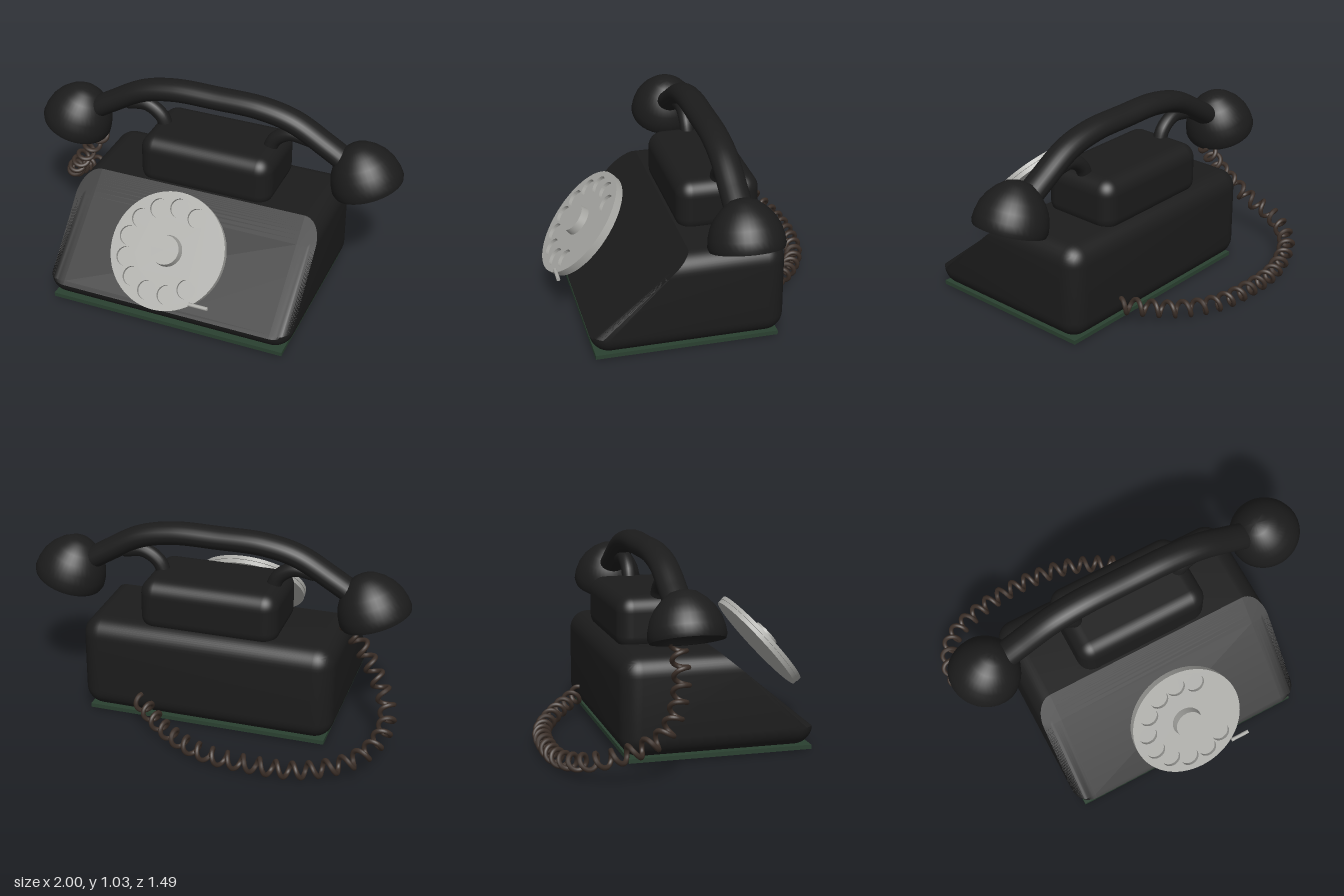
import * as THREE from 'three';
import { toCreasedNormals } from 'three/addons/utils/BufferGeometryUtils.js';
import { RoundedBoxGeometry } from 'three/addons/geometries/RoundedBoxGeometry.js';

const makeMaterial = (name, color) => {
  const m = new THREE.MeshStandardMaterial({ color });
  m.name = name;
  return m;
};

export function createModel() {
  const black = makeMaterial('black', 0x1c1c1c);
  const metal = makeMaterial('metal', 0xa9a9a5);
  const felt = makeMaterial('greenFelt', 0x2a4030);
  const brown = makeMaterial('brownCord', 0x3a2e27);

  const phone = new THREE.Group();
  phone.name = 'telephone';
  const add = (name, geometry, material, x = 0, y = 0, z = 0, parent = phone) => {
    const mesh = new THREE.Mesh(geometry, material);
    mesh.name = name;
    mesh.position.set(x, y, z);
    parent.add(mesh);
    return mesh;
  };
  const curve = (pts) => new THREE.CatmullRomCurve3(pts.map((p) => new THREE.Vector3(...p)));
  const midZ = -0.105;

  // Felt base plate
  add('baseFelt', new THREE.BoxGeometry(1.27, 0.022, 0.94), felt, 0, 0.016, 0.13);

  // Body: rounded box whose front is pulled back onto a slanted plane
  const bodyGeo = new RoundedBoxGeometry(1.34, 0.505, 0.995, 6, 0.1);
  bodyGeo.translate(0, 0.2775, 0.1225);
  const pos = bodyGeo.attributes.position;
  for (let i = 0; i < pos.count; i++) {
    const slant = 0.62 - (pos.getY(i) - 0.11) * 1.2;
    pos.setZ(i, Math.min(pos.getZ(i), slant));
  }
  add('body', toCreasedNormals(bodyGeo, 0.5), black);

  // Housing under the handset
  add('cradleHousing', new RoundedBoxGeometry(0.73, 0.28, 0.43, 6, 0.08), black, 0, 0.627, midZ);

  // Handset grip, slightly wider than tall
  const grip = curve([
    [-0.73, 0.745, 0], [-0.6, 0.825, 0], [-0.42, 0.925, 0], [-0.24, 0.965, 0], [0, 0.969, 0],
    [0.24, 0.965, 0], [0.42, 0.925, 0], [0.6, 0.825, 0], [0.73, 0.745, 0],
  ]);
  add('handsetGrip', new THREE.TubeGeometry(grip, 60, 0.058, 24), black, 0, 0, midZ).scale.z = 1.24;

  // Cups and cradle arms, mirrored
  const cupProfile = [
    [0, 0.06], [0.07, 0.055], [0.125, 0.035], [0.165, 0], [0.181, 0], [0.188, 0.02], [0.184, 0.06],
    [0.17, 0.11], [0.145, 0.155], [0.11, 0.195], [0.065, 0.23], [0.03, 0.24], [0, 0.242],
  ].map(([r, h]) => new THREE.Vector2(r, h));
  const cupGeo = toCreasedNormals(new THREE.LatheGeometry(cupProfile, 40).toNonIndexed(), 0.7);
  for (const side of [-1, 1]) {
    const name = side > 0 ? 'left' : 'right';
    add(name + 'Cup', cupGeo, black, side * 0.83, 0.64, midZ).rotation.z = side * 0.34;
    const arm = curve([
      [side * 0.285, 0.72, midZ], [side * 0.32, 0.8, midZ],
      [side * 0.4, 0.85, midZ], [side * 0.51, 0.84, midZ],
    ]);
    add(name + 'CradleArm', new THREE.TubeGeometry(arm, 24, 0.038, 14), black);
  }

  // Dial group: local z = 0 is the face of the finger wheel
  const dial = new THREE.Group();
  dial.name = 'dial';
  dial.position.set(0, 0.446, 0.554);
  dial.rotation.x = -0.709;
  phone.add(dial);
  const disc = (top, bottom, h) => new THREE.CylinderGeometry(top, bottom, h, 48).rotateX(Math.PI / 2);

  const wheel = new THREE.Shape().absarc(0, 0, 0.3, 0, Math.PI * 2);
  for (let i = 0; i < 10; i++) {
    const a = THREE.MathUtils.degToRad(60 + 28 * i);
    wheel.holes.push(new THREE.Path().absarc(0.22 * Math.cos(a), 0.22 * Math.sin(a), 0.049, 0, Math.PI * 2, true));
  }
  const wheelGeo = new THREE.ExtrudeGeometry(wheel, { depth: 0.02, bevelEnabled: false, curveSegments: 32 });
  add('fingerWheel', toCreasedNormals(wheelGeo, 0.6), metal, 0, 0, -0.02, dial);
  add('dialBackPlate', disc(0.297, 0.297, 0.023), metal, 0, 0, -0.0325, dial);
  add('dialSpacer', disc(0.285, 0.285, 0.006), metal, 0, 0, -0.0215, dial);
  add('dialHub', disc(0.074, 0.08, 0.04), metal, 0, 0, 0.02, dial);
  const stop = new THREE.CylinderGeometry(0.01, 0.01, 0.1, 10).rotateZ(Math.PI / 2);
  add('fingerStop', stop, metal, 0.235, -0.23, 0.016, dial);

  // Coiled cord: a helix wound around a sweeping path
  const path = curve([
    [-0.68, 0.6, -0.11], [-0.81, 0.41, -0.13], [-0.93, 0.23, -0.24], [-0.945, 0.16, -0.4],
    [-0.85, 0.1, -0.57], [-0.62, 0.052, -0.67], [-0.33, 0.05, -0.695], [-0.08, 0.053, -0.66],
    [0.14, 0.075, -0.55], [0.34, 0.12, -0.38],
  ]);
  const turns = 26, steps = turns * 16, coilRadius = 0.037;
  const { normals, binormals } = path.computeFrenetFrames(steps);
  const coil = [];
  for (let i = 0; i <= steps; i++) {
    const a = (i / steps) * turns * Math.PI * 2;
    coil.push(path.getPointAt(i / steps)
      .addScaledVector(normals[i], Math.cos(a) * coilRadius)
      .addScaledVector(binormals[i], Math.sin(a) * coilRadius));
  }
  const wire = new THREE.CatmullRomCurve3(coil);
  wire.arcLengthDivisions = 1600;
  add('coiledCord', new THREE.TubeGeometry(wire, steps * 2, 0.0125, 8), brown);

  return phone;
}
